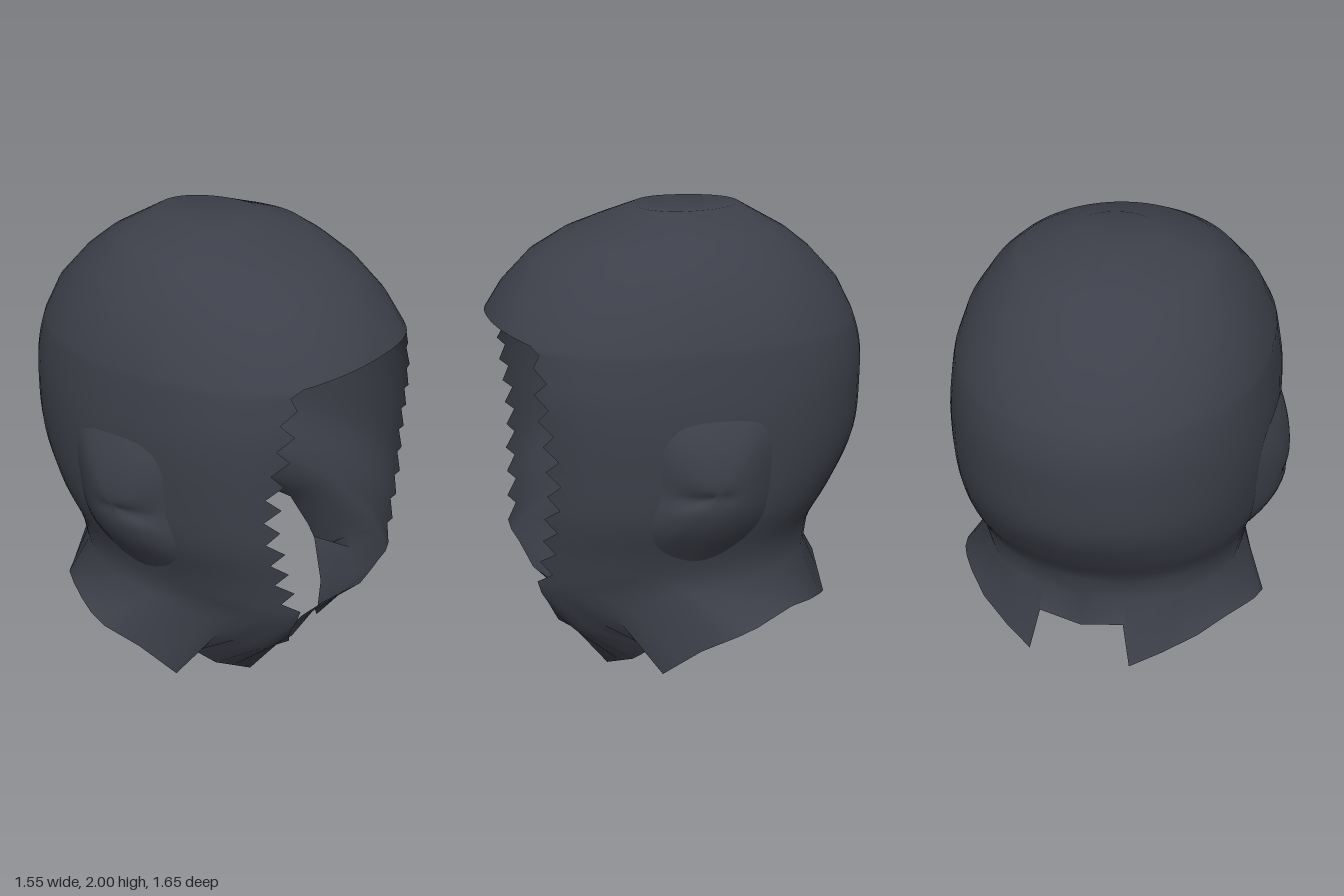
import * as THREE from 'three';
import { mergeVertices } from 'three/addons/utils/BufferGeometryUtils.js';

const { lerp, clamp } = THREE.MathUtils;
const K = 6;       // columns across half of the face opening
const N = 24;      // columns from the opening edge round to the back
const M = K + N;

// Head sections: height, half width, reach forward, reach back
const SECTIONS = [
  [1.985, 0, 0, 0], [2, 0.19, 0.18, 0.28], [1.92, 0.41, 0.37, 0.42], [1.88, 0.455, 0.5, 0.49],
  [1.8, 0.535, 0.64, 0.59], [1.67, 0.62, 0.76, 0.71], [1.56, 0.662, 0.825, 0.77],
  [1.4, 0.69, 0.825, 0.82], [1.25, 0.705, 0.825, 0.825], [1, 0.7, 0.82, 0.8],
  [0.8, 0.68, 0.82, 0.7], [0.63, 0.625, 0.82, 0.6], [0.42, 0.575, 0.8, 0.585],
];
// Half width of the face opening by height
const OPENING = [[1.5, 0.435], [1.36, 0.46], [1.1, 0.5], [0.9, 0.5], [0.7, 0.455], [0.5, 0.39], [0.42, 0.36]];

// Smooth section at any height below the crown
const rising = SECTIONS.slice(1).reverse();
const spline = new THREE.CubicInterpolant(rising.map((s) => s[0]), rising.flatMap((s) => s.slice(1)), 3);
const section = (y) => [y, ...spline.evaluate(y)];

function openingWidth(y) {
  let i = 0;
  while (i < OPENING.length - 2 && y < OPENING[i + 1][0]) i++;
  const [ya, xa] = OPENING[i], [yb, xb] = OPENING[i + 1];
  return lerp(xa, xb, clamp((y - ya) / (yb - ya), 0, 1));
}

// Squareness of the oval in front of and behind the widest point
const BACK_POWER = 2.1;
const frontPower = (y) => 2 + 0.55 * clamp((1.75 - y) / 0.4, 0, 1);

// Point on an oval section, angle 0 = front, PI = back
function onSection([y, w, f, b], angle) {
  const s = Math.max(0, Math.sin(angle)), c = Math.cos(angle);
  const e = 2 / (c > 0 ? frontPower(y) : BACK_POWER);
  return new THREE.Vector3(w * s ** e, y, c > 0 ? f * c ** e : -b * (-c) ** e);
}
const angleAt = (y, x) => Math.asin(Math.min(1, x / section(y)[1]) ** (frontPower(y) / 2));

const toVectors = (list) => list.map((p) => new THREE.Vector3(...p));

// Ragged hem, neck crease and chin rim, each from front centre outwards
const HEM = toVectors([
  [0, 0.04, 0.43], [0.19, 0.09, 0.43], [0.27, 0, 0.39], [0.42, 0.08, 0.31],
  [0.55, 0.22, 0.18], [0.59, 0.08, 0.22], [0.66, 0.2, 0.07], [0.72, 0.28, -0.08],
  [0.7, 0.3, -0.17], [0.66, 0.32, -0.26], [0.6, 0.33, -0.36], [0.5, 0.3, -0.48],
  [0.36, 0.25, -0.58], [0.23, 0.2, -0.65], [0.19, 0.4, -0.605], [0, 0.36, -0.61],
]);
const CREASE = new THREE.CatmullRomCurve3(toVectors([
  [0, 0.13, 0.46], [0.39, 0.23, 0.53], [0.57, 0.42, 0.21],
  [0.565, 0.46, -0.17], [0.36, 0.5, -0.48], [0, 0.5, -0.585],
]));
const CHIN = [[0, 0.17, 0.48], [0.2, 0.19, 0.52], [0.29, 0.25, 0.61], [0.345, 0.34, 0.65]];

// Each row is a list of points for half the hood, columns 0..M
function hoodRows() {
  const rows = [];
  const browAngle = angleAt(1.53, 0.39);
  const crownAngle = (j) => (j < K ? browAngle * j / K : lerp(browAngle, Math.PI, (j - K) / N));
  // Crown, closed all round, ending in a brow edge that dips at the corners
  for (const s of SECTIONS.slice(0, 6)) {
    rows.push(Array.from({ length: M + 1 }, (_, j) => onSection(s, crownAngle(j))));
  }
  const brow = rows.length;
  rows.push(Array.from({ length: M + 1 }, (_, j) =>
    onSection(section(1.56 - 0.03 * Math.min(1, j / K) ** 2), crownAngle(j))));
  // Sides, with a toothed edge along the face opening
  const steps = 20;
  for (let i = 0; i <= steps; i++) {
    const y = lerp(1.5, 0.42, i / steps);
    const half = openingWidth(y);
    const start = angleAt(y, half);
    const tooth = i === 0 || i === steps ? 0 : (i % 2 ? -0.025 : 0.025);
    rows.push(Array.from({ length: M + 1 }, (_, j) => {
      if (j <= K) return onSection(section(y), angleAt(y, half + tooth));
      const t = (j - K) / N;
      const lifted = y + 0.2 * (i / steps) * Math.min(1, 2 * t);
      return onSection(section(lifted), lerp(start, Math.PI, t));
    }));
  }
  // Chin rim closes the last side row across the front
  const last = rows.length - 1;
  const rim = new THREE.CatmullRomCurve3([...toVectors(CHIN), rows[last][K].clone()]);
  for (let j = 0; j < K; j++) rows[last][j] = rim.getPoint(j / K);
  // Neck crease and hem
  rows.push(Array.from({ length: M + 1 }, (_, j) => CREASE.getPoint(j / M)));
  rows.push(Array.from({ length: M + 1 }, (_, j) => {
    const i = Math.floor(j / 2);
    return j % 2 ? HEM[i].clone().lerp(HEM[i + 1], 0.5) : HEM[i];
  }));
  return { rows, brow, last };
}

function buildGeometry(positions, index) {
  let g = new THREE.BufferGeometry();
  g.setAttribute('position', new THREE.Float32BufferAttribute(positions, 3));
  g.setIndex(index);
  g = mergeVertices(g, 1e-5);
  g.computeVertexNormals();
  return g;
}

function hoodGeometry() {
  const { rows, brow, last } = hoodRows();
  const around = 2 * M, pos = [], index = [];
  rows.forEach((row, r) => {
    for (let j = 0; j < around; j++) {
      const p = row[j <= M ? j : around - j];
      pos.push(j <= M ? p.x : -p.x, p.y, p.z);
      const open = r >= brow && r < last && (j < K || j >= around - K);
      if (r === rows.length - 1 || open) continue;
      const a = r * around + j, b = r * around + (j + 1) % around;
      // Mirrored diagonals keep both halves alike
      if (j < M) index.push(a, a + around, b + around, a, b + around, b);
      else index.push(a, a + around, b, b, a + around, b + around);
    }
  });
  return buildGeometry(pos, index);
}

// Ear pad outline as height and depth, starting at the top
const EAR_OUTLINE = new THREE.CatmullRomCurve3(toVectors([
  [0, 1.245, 0.02], [0, 1.2, -0.19], [0, 0.92, -0.215], [0, 0.75, -0.17], [0, 0.62, 0],
  [0, 0.61, 0.11], [0, 0.69, 0.25], [0, 0.8, 0.285], [0, 0.95, 0.25], [0, 1.13, 0.245], [0, 1.22, 0.18],
]), true);

// Padded ear bulge: a low dome over the hood side, pinched towards the front
function earGeometry(side) {
  const rings = 10, segs = 40, pos = [], index = [];
  const outline = EAR_OUTLINE.getPoints(segs);
  for (let i = 0; i <= rings; i++) {
    const r = i / rings;
    for (let k = 0; k < segs; k++) {
      const y = lerp(0.95, outline[k].y, r), z = lerp(0.03, outline[k].z, r);
      const [, w, f, b] = section(y);
      const n = z > 0 ? frontPower(y) : BACK_POWER;
      const base = w * (1 - (Math.abs(z) / (z > 0 ? f : b)) ** n) ** (1 / n);
      const pinch = 0.035 * Math.exp(-(((y - 0.93) / 0.03) ** 2)) * clamp((z + 0.1) / 0.3, 0, 1);
      const x = base + 0.002 + (0.075 - pinch) * (1 - r ** 1.8);
      pos.push(side * x, y, z);
      if (i === rings) continue;
      const p = i * segs + k, q = i * segs + (k + 1) % segs;
      if (side > 0) index.push(p, p + segs, q + segs, p, q + segs, q);
      else index.push(p, q + segs, p + segs, p, q, q + segs);
    }
  }
  return buildGeometry(pos, index);
}

export function createModel() {
  const model = new THREE.Group();
  model.name = 'hood';
  const cloth = new THREE.MeshStandardMaterial({ color: 0x3d404a, side: THREE.DoubleSide });
  const add = (name, geometry) => {
    const mesh = new THREE.Mesh(geometry, cloth);
    mesh.name = name;
    model.add(mesh);
  };
  add('hoodShell', hoodGeometry());
  add('leftEarPad', earGeometry(1));
  add('rightEarPad', earGeometry(-1));
  return model;
}
